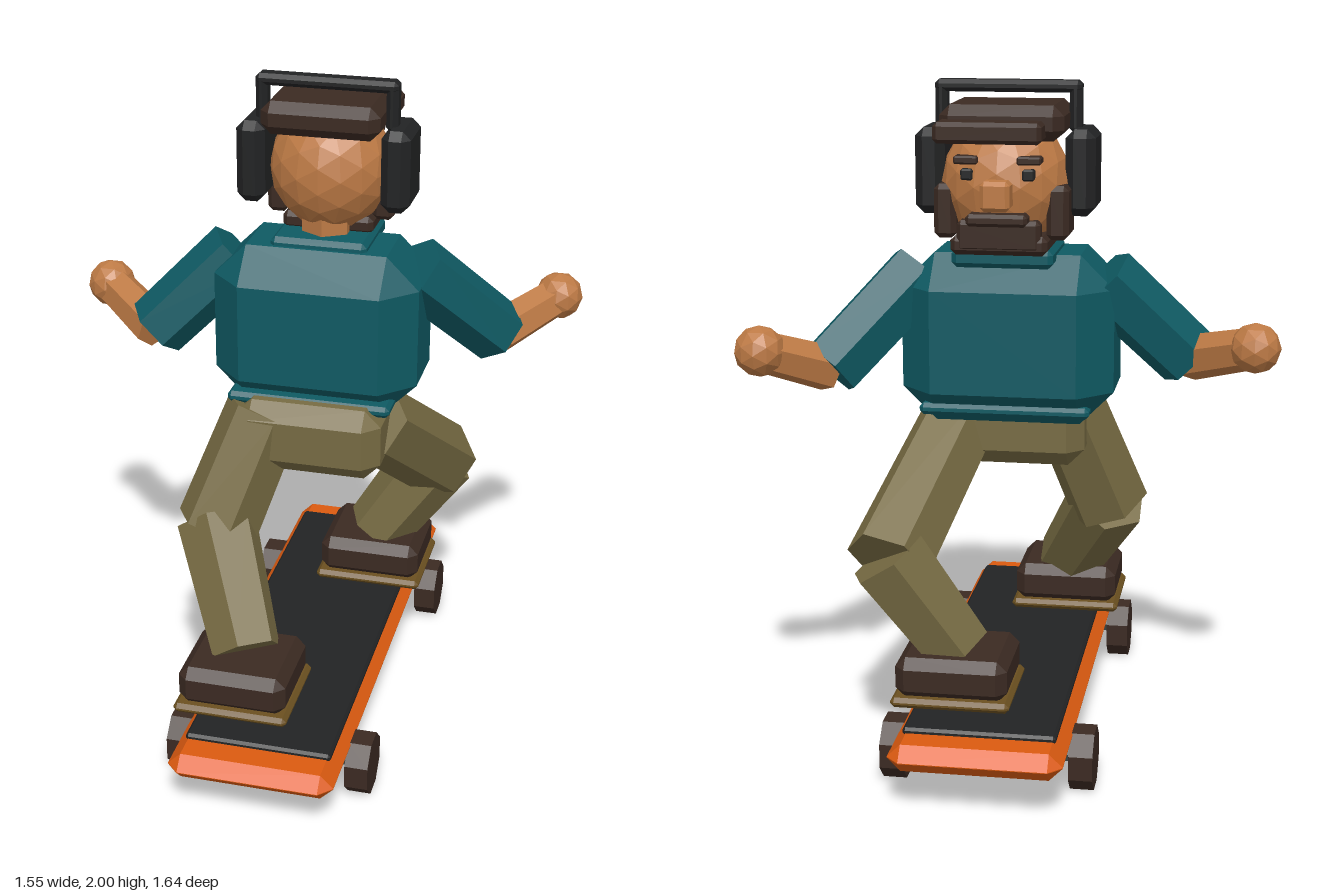
import * as THREE from 'three';
import { ConvexGeometry } from 'three/addons/geometries/ConvexGeometry.js';

const makeMaterial = (name, color) => {
  const m = new THREE.MeshStandardMaterial({ color });
  m.name = name;
  return m;
};

export function createModel() {
  const model = new THREE.Group();
  model.name = 'skateboarder';

  const teal = makeMaterial('teal shirt', 0x0f5a63);
  const olive = makeMaterial('olive trousers', 0x776b43);
  const skin = makeMaterial('skin', 0xbd7a45);
  const brown = makeMaterial('dark brown', 0x3b2a22);
  const black = makeMaterial('black', 0x222324);
  const orange = makeMaterial('orange deck', 0xdb5a10);
  const grey = makeMaterial('grey metal', 0x4b5858);
  const tan = makeMaterial('tan sole', 0x6b5020);

  // Faceted mesh: unshared corners give flat face normals
  const add = (name, geometry, material, parent = model) => {
    const g = geometry.index ? geometry.toNonIndexed() : geometry;
    g.computeVertexNormals();
    const mesh = new THREE.Mesh(g, material);
    mesh.name = name;
    parent.add(mesh);
    return mesh;
  };

  const group = (name) => {
    const g = new THREE.Group();
    g.name = name;
    model.add(g);
    return g;
  };

  // Box with chamfered edges, given by its x, y and z ranges
  const box = (name, material, x, y, z, bevel, parent) => {
    const half = [x, y, z].map(([a, b]) => (b - a) / 2);
    const b = Math.min(bevel, Math.min(...half) * 0.97);
    const points = [];
    for (let axis = 0; axis < 3; axis++)
      for (const sx of [-1, 1]) for (const sy of [-1, 1]) for (const sz of [-1, 1]) {
        const p = [sx, sy, sz].map((s, i) => s * (half[i] - (i === axis ? 0 : b)));
        points.push(new THREE.Vector3(...p));
      }
    const mesh = add(name, new ConvexGeometry(points), material, parent);
    mesh.position.set(...[x, y, z].map(([a, c]) => (a + c) / 2));
    return mesh;
  };

  // Faceted rod between two points
  const rod = (name, material, from, to, r0, r1, sides = 6, parent = model, turn = 0) => {
    const a = new THREE.Vector3(...from), b = new THREE.Vector3(...to);
    const dir = b.clone().sub(a);
    const geometry = new THREE.CylinderGeometry(r1, r0, dir.length(), sides).rotateY(turn);
    const mesh = add(name, geometry, material, parent);
    mesh.position.copy(a).add(b).multiplyScalar(0.5);
    mesh.quaternion.setFromUnitVectors(new THREE.Vector3(0, 1, 0), dir.normalize());
    return mesh;
  };

  // Skateboard
  const board = group('skateboard');
  box('deck', orange, [-0.22, 0.278], [0.13, 0.21], [-0.82, 0.82], 0.04, board);
  box('gripTape', black, [-0.19, 0.25], [0.2, 0.225], [-0.705, 0.705], 0.008, board);
  for (const z of [-0.522, 0.522]) {
    rod('axle', grey, [-0.22, 0.104, z], [0.28, 0.104, z], 0.032, 0.032, 6, board);
    for (const x of [-0.283, 0.27])
      rod('wheel', brown, [x, 0.087, z], [x + 0.07, 0.087, z], 0.094, 0.094, 8, board, Math.PI / 8);
  }

  // Shoes with soles
  for (const [side, x, z] of [['right', -0.085, 0.45], ['left', 0.14, -0.415]]) {
    const shoe = group(side + 'Shoe');
    box('sole', tan, [x - 0.175, x + 0.175], [0.225, 0.255], [z - 0.162, z + 0.162], 0.012, shoe);
    box('upper', brown, [x - 0.165, x + 0.165], [0.245, 0.37], [z - 0.15, z + 0.15], 0.03, shoe);
  }

  // Legs
  const leg = (side, hip, knee, ankle) => {
    const g = group(side + 'Leg');
    rod('thigh', olive, hip, knee, 0.122, 0.13, 6, g);
    rod('calf', olive, [knee[0], knee[1] + 0.02, knee[2]], ankle, 0.128, 0.108, 6, g);
  };
  leg('right', [-0.115, 1.0, 0.07], [-0.24, 0.64, 0.19], [-0.08, 0.36, 0.43]);
  leg('left', [0.2, 0.97, 0], [0.34, 0.63, -0.45], [0.14, 0.36, -0.41]);

  // Trunk
  box('pelvis', olive, [-0.19, 0.26], [0.835, 1.06], [-0.12, 0.18], 0.05);
  box('torso', teal, [-0.29, 0.34], [1.0, 1.505], [-0.3, 0.1], 0.1);
  box('shirtHem', teal, [-0.225, 0.278], [1.03, 1.065], [-0.275, 0.11], 0.012);
  box('collar', teal, [-0.12, 0.175], [1.475, 1.53], [-0.29, -0.01], 0.015);
  rod('neck', skin, [0.03, 1.46, -0.13], [0.03, 1.58, -0.13], 0.08, 0.08);

  // Arms with round hands
  const arm = (side, shoulder, elbow, hand) => {
    const g = group(side + 'Arm');
    rod('sleeve', teal, shoulder, elbow, 0.104, 0.1, 6, g);
    rod('forearm', skin, elbow, hand, 0.07, 0.062, 6, g);
    add('hand', new THREE.IcosahedronGeometry(0.075, 1), skin, g).position.set(...hand);
  };
  arm('right', [-0.25, 1.43, -0.13], [-0.5, 1.18, -0.055], [-0.7, 1.25, -0.212]);
  arm('left', [0.3, 1.43, -0.125], [0.535, 1.17, -0.31], [0.7, 1.25, -0.46]);

  // Head and nose, facing -z
  const head = group('head');
  const skull = add('skull', new THREE.IcosahedronGeometry(1, 2), skin, head);
  skull.scale.set(0.187, 0.195, 0.182);
  skull.position.set(0.03, 1.715, -0.18);
  box('nose', skin, [-0.015, 0.07], [1.655, 1.74], [-0.415, -0.33], 0.012, head);

  // Hair, brim, beard and moustache
  box('hair', brown, [-0.15, 0.207], [1.84, 1.94], [-0.305, -0.008], 0.03, head);
  box('fringe', brown, [-0.1, 0.207], [1.84, 1.9], [-0.39, -0.26], 0.012, head);
  box('chinBeard', brown, [-0.11, 0.17], [1.52, 1.575], [-0.335, -0.12], 0.015, head);
  box('frontBeard', brown, [-0.09, 0.15], [1.53, 1.62], [-0.338, -0.28], 0.012, head);
  box('moustache', brown, [-0.06, 0.115], [1.61, 1.645], [-0.39, -0.32], 0.01, head);

  for (const s of [-1, 1]) {
    const span = (a, b) => (s < 0 ? [0.03 - b, 0.03 - a] : [0.03 + a, 0.03 + b]);
    box('sideburn', brown, span(0.13, 0.195), [1.56, 1.715], [-0.29, -0.15], 0.015, head);
    box('eyebrow', brown, span(0.055, 0.125), [1.78, 1.803], [-0.352, -0.3], 0.005, head);
    box('eye', black, span(0.07, 0.105), [1.735, 1.767], [-0.348, -0.31], 0.005, head);
    // Headphone cup and upright
    box('earCup', black, span(0.175, 0.262), [1.62, 1.868], [-0.232, -0.038], 0.025, head);
    box('bandUpright', black, span(0.178, 0.214), [1.85, 2.0], [-0.155, -0.095], 0.014, head);
  }
  box('headband', black, [-0.184, 0.244], [1.965, 2.0], [-0.155, -0.095], 0.012, head);

  return model;
}
